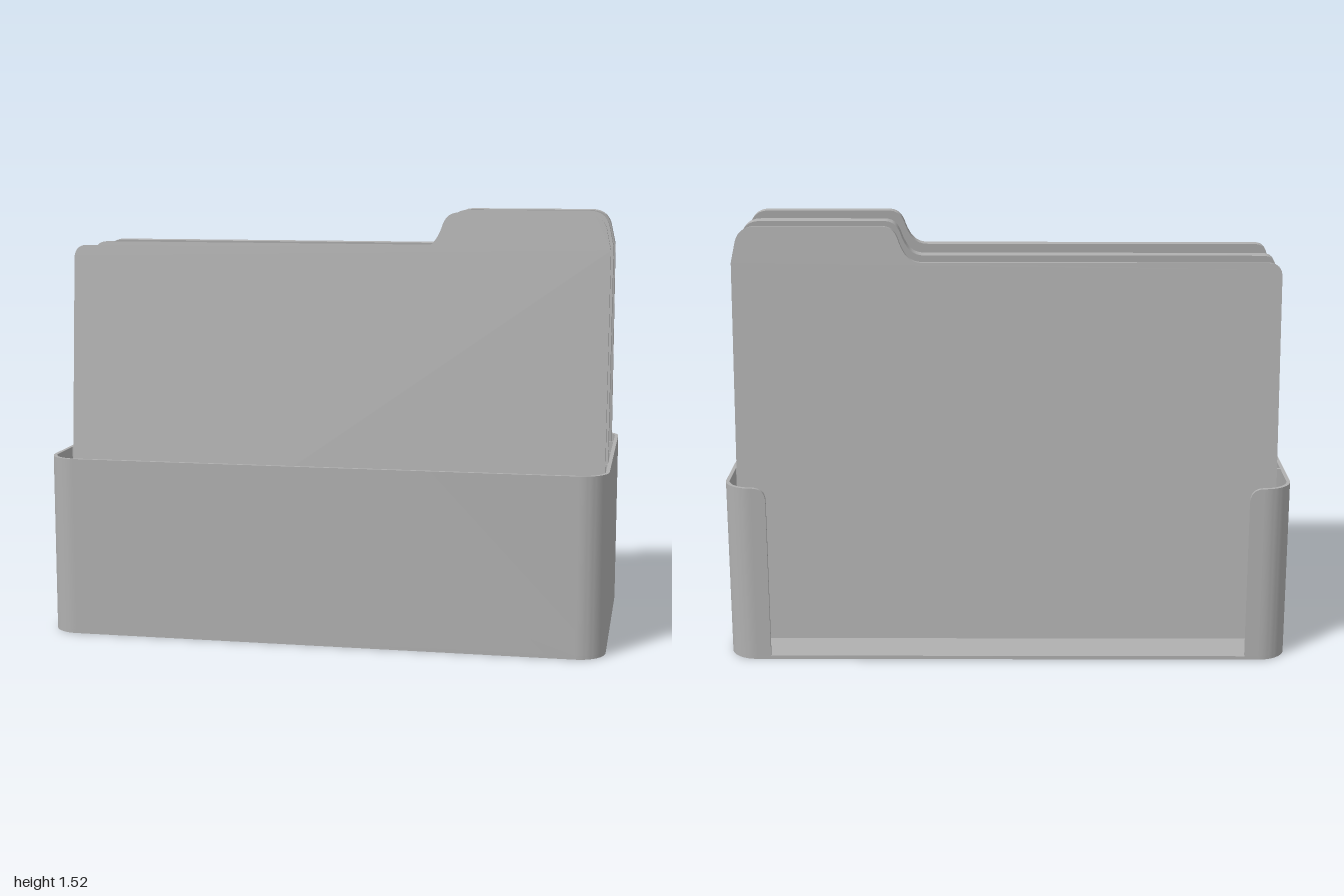
import * as THREE from 'three';
import { toCreasedNormals } from 'three/addons/utils/BufferGeometryUtils.js';

const W = 1, D = 0.493, H = 0.642, R = 0.1, T = 0.013; // holder half-width, half-depth, height, corner, wall
const LIP_X = 0.85; // inner edge of the lips and dividers

const grey = new THREE.MeshStandardMaterial({ color: 0xb0b0b0 });
grey.name = 'grey';

function extrude(shape, depth) {
  const g = new THREE.ExtrudeGeometry(shape, { depth, bevelEnabled: false, curveSegments: 10 });
  return toCreasedNormals(g, 0.6);
}

function add(parent, name, geometry) {
  const mesh = new THREE.Mesh(geometry, grey);
  mesh.name = name;
  parent.add(mesh);
  return mesh;
}

// Adds the four rounded corners in order, from back left round the front to back right
function traceCorners(path, r, reverse) {
  const cx = W - R, cy = D - R, q = Math.PI / 2;
  const corners = [[cx, cy, q], [cx, -cy, 0], [-cx, -cy, -q], [-cx, cy, -2 * q]];
  if (reverse) corners.reverse();
  for (const [x, y, a] of corners) {
    if (reverse) path.absarc(x, y, r, a - q, a, false);
    else path.absarc(x, y, r, a, a - q, true);
  }
}

// Upright plate reaching in from a side wall, with its inner top corner rounded
function lipGeometry(outerX, side) {
  const r = 0.05, s = new THREE.Shape();
  s.moveTo(side * outerX, T);
  s.lineTo(side * LIP_X, T);
  s.lineTo(side * LIP_X, H - r);
  s.quadraticCurveTo(side * LIP_X, H, side * (LIP_X + r), H);
  s.lineTo(side * outerX, H);
  s.closePath();
  return extrude(s, T);
}

// Tabbed folder outline, standing on y = 0
function folderShape() {
  const s = new THREE.Shape();
  s.moveTo(-0.97, 0);
  s.lineTo(0.98, 0);
  s.lineTo(0.98, 1.38);
  s.lineTo(0.964, 1.455);
  s.quadraticCurveTo(0.95, 1.508, 0.89, 1.508);
  s.lineTo(0.45, 1.508);
  s.bezierCurveTo(0.41, 1.508, 0.395, 1.485, 0.385, 1.45);
  s.bezierCurveTo(0.365, 1.4, 0.345, 1.38, 0.3, 1.38);
  s.lineTo(-0.92, 1.38);
  s.quadraticCurveTo(-0.97, 1.38, -0.97, 1.33);
  s.closePath();
  return s;
}

export function createModel() {
  const model = new THREE.Group();
  model.name = 'folderHolder';

  // Floor
  const floor = new THREE.Shape();
  traceCorners(floor, R, false);
  floor.closePath();
  add(model, 'floor', extrude(floor, T)).rotation.x = -Math.PI / 2;

  // Front and side walls, open at the back
  const wall = new THREE.Shape();
  traceCorners(wall, R, false);
  traceCorners(wall, R - T, true);
  wall.closePath();
  const walls = add(model, 'walls', extrude(wall, H - T));
  walls.rotation.x = -Math.PI / 2;
  walls.position.y = T;

  // Back lips and the dividers the folders lean on
  for (const side of [-1, 1]) {
    add(model, 'backLip', lipGeometry(W - R, side)).position.z = -D;
    for (const z of [-0.245, 0, 0.238]) {
      add(model, 'divider', lipGeometry(W - T, side)).position.z = z - T / 2;
    }
  }

  // Folders: base z, thickness, lean
  const lean = THREE.MathUtils.degToRad(5);
  const folders = [
    ['frontFolder', 0.323, 0.031, -lean],
    ['middleFolder', 0.085, 0.04, -lean],
    ['backFolder', -0.323, 0.031, lean],
  ];
  for (const [name, z, thickness, angle] of folders) {
    const g = extrude(folderShape(), thickness);
    g.translate(0, 0, -thickness / 2);
    const folder = add(model, name, g);
    folder.rotation.x = angle;
    folder.position.set(0, T + 0.002, z);
  }
  return model;
}
